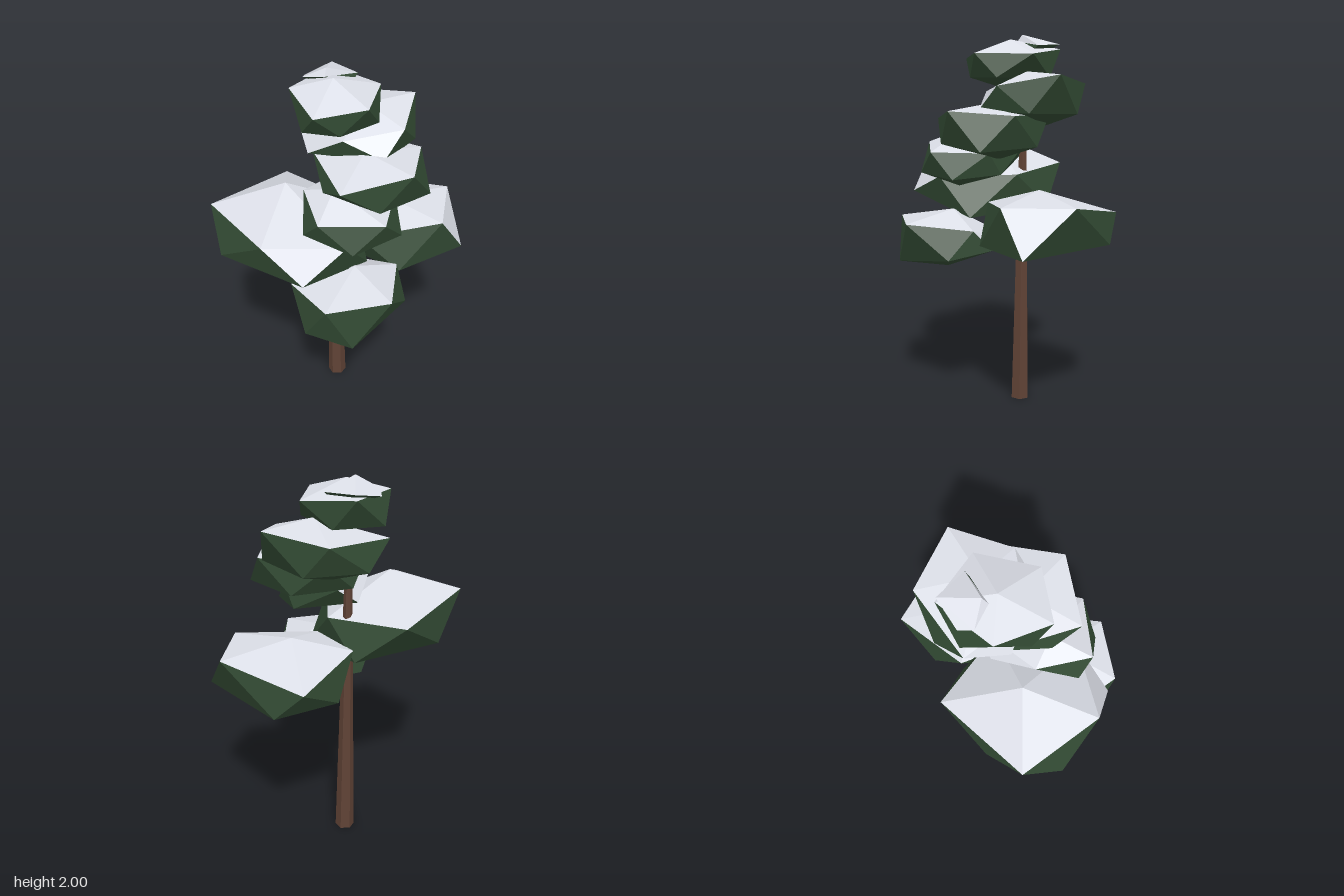
import * as THREE from 'three';
import { ConvexGeometry } from 'three/addons/geometries/ConvexGeometry.js';

const mat = (name, color, flatShading = true) => {
  const m = new THREE.MeshStandardMaterial({ color, flatShading });
  m.name = name;
  return m;
};

export function createModel() {
  const tree = new THREE.Group();
  tree.name = 'snowyPine';
  const bark = mat('bark', 0x5f4235);
  const needles = mat('needles', 0x324a33);
  const snow = mat('snow', 0xe2e5ee);

  // Tapered limb between two points
  const limb = (name, from, to, r0, r1, sides) => {
    const a = new THREE.Vector3(...from), b = new THREE.Vector3(...to);
    const dir = b.clone().sub(a);
    const mesh = new THREE.Mesh(new THREE.CylinderGeometry(r1, r0, dir.length(), sides), bark);
    mesh.name = name;
    mesh.position.copy(a).add(b).multiplyScalar(0.5);
    mesh.quaternion.setFromUnitVectors(new THREE.Vector3(0, 1, 0), dir.normalize());
    tree.add(mesh);
  };

  // Faceted clump: crown and base points plus two rings; snow lies on faces turned up
  const clump = (name, { crown, upper, lower, base, snowSlope = 0.42 }) => {
    const points = [crown, ...upper, ...lower, base].map(p => new THREE.Vector3(...p));
    const geo = new ConvexGeometry(points);
    const p = geo.attributes.position, t = new THREE.Triangle(), n = new THREE.Vector3();
    for (let i = 0; i < p.count; i += 3) {
      t.setFromAttributeAndIndices(p, i, i + 1, i + 2).getNormal(n);
      geo.addGroup(i, 3, n.y > snowSlope ? 1 : 0);
    }
    const mesh = new THREE.Mesh(geo, [needles, snow]);
    mesh.name = name;
    tree.add(mesh);
  };

  // Trunk and low branch
  limb('trunk', [-0.003, 0, -0.165], [-0.003, 1.85, -0.175], 0.052, 0.013, 6);
  limb('lowBranch', [0, 0.845, -0.165], [-0.14, 0.92, 0.08], 0.013, 0.009, 5);

  // Foliage from bottom to top
  clump('lowFrontFoliage', {
    crown: [-0.08, 1.1, 0.2],
    upper: [[-0.03, 1.045, 0.485], [-0.345, 1.04, 0.395], [-0.39, 1.03, 0.1], [0.02, 0.93, -0.1], [0.17, 1.02, 0.2]],
    lower: [[-0.23, 0.81, 0.455], [-0.4, 0.835, 0.27], [-0.18, 0.88, -0.05], [0.19, 0.915, 0.1], [0.15, 0.875, 0.33]],
    base: [-0.14, 0.778, 0.21],
  });
  clump('lowLeftFoliage', {
    crown: [0.29, 1.227, -0.11],
    upper: [[0.668, 1.19, -0.09], [0.45, 1.18, 0.19], [0.03, 1.14, 0.05], [0.05, 1.17, -0.3], [0.44, 1.11, -0.474]],
    lower: [[0.614, 0.957, 0.16], [0.2, 0.95, 0.18], [0.03, 0.98, -0.1], [0.2, 0.97, -0.4], [0.54, 0.97, -0.37]],
    base: [0.31, 0.894, -0.14],
  });
  clump('lowRightFoliage', {
    crown: [-0.294, 1.476, -0.126],
    upper: [[-0.633, 1.355, -0.298], [-0.553, 1.34, 0.15], [-0.15, 1.265, 0.25], [0.07, 1.28, -0.1], [-0.133, 1.307, -0.485]],
    lower: [[-0.671, 1.18, -0.1], [-0.413, 1.16, 0.298], [0.02, 1.06, 0.15], [0.04, 1.1, -0.3], [-0.42, 1.13, -0.39]],
    base: [-0.31, 1.07, -0.06],
  });
  clump('middleRightFoliage', {
    crown: [-0.14, 1.52, 0.1],
    upper: [[-0.3, 1.44, 0.244], [0, 1.41, 0.357], [0.19, 1.41, 0.12], [0.05, 1.44, -0.16], [-0.24, 1.47, -0.03]],
    lower: [[-0.337, 1.35, 0.155], [-0.17, 1.29, 0.345], [0.13, 1.28, 0.295], [0.18, 1.3, 0.05], [-0.06, 1.36, -0.18]],
    base: [0, 1.233, 0.2],
    snowSlope: 0.56,
  });
  clump('middleLeftFoliage', {
    crown: [0.05, 1.65, 0.06],
    upper: [[0.16, 1.62, 0.33], [-0.18, 1.57, 0.24], [-0.13, 1.6, -0.15], [0.16, 1.6, -0.24], [0.365, 1.6, 0.07]],
    lower: [[0.325, 1.43, 0.235], [0, 1.45, 0.3], [-0.19, 1.5, 0.08], [0.0, 1.46, -0.22], [0.28, 1.44, -0.1]],
    base: [0.15, 1.375, 0.05],
  });
  clump('upperFoliage', {
    crown: [0.15, 1.81, -0.11],
    upper: [[0.445, 1.793, -0.13], [0.24, 1.74, 0.105], [-0.05, 1.71, 0.02], [-0.13, 1.72, -0.33], [0.25, 1.75, -0.395]],
    lower: [[0.375, 1.61, 0], [0.11, 1.62, 0.14], [-0.17, 1.61, -0.12], [0.04, 1.6, -0.405], [0.33, 1.6, -0.3]],
    base: [0.12, 1.53, -0.22],
  });
  clump('topFoliage', {
    crown: [-0.03, 1.975, -0.11],
    upper: [[-0.21, 1.92, -0.22], [-0.22, 1.88, 0.057], [0.03, 1.9, 0.126], [0.226, 1.895, -0.104], [0.075, 1.925, -0.35]],
    lower: [[-0.23, 1.77, -0.05], [-0.1, 1.78, 0.09], [0.13, 1.78, 0.05], [0.14, 1.78, -0.25], [-0.1, 1.78, -0.33]],
    base: [-0.1, 1.72, -0.12],
  });
  clump('treeTip', {
    crown: [-0.03, 2, -0.18],
    upper: [[-0.12, 1.94, -0.26], [-0.05, 1.965, -0.16], [0.14, 1.94, -0.18], [0.08, 1.95, -0.34]],
    lower: [[0.12, 1.925, -0.17], [-0.08, 1.92, -0.32]],
    base: [0.02, 1.88, -0.23],
  });

  return tree;
}
